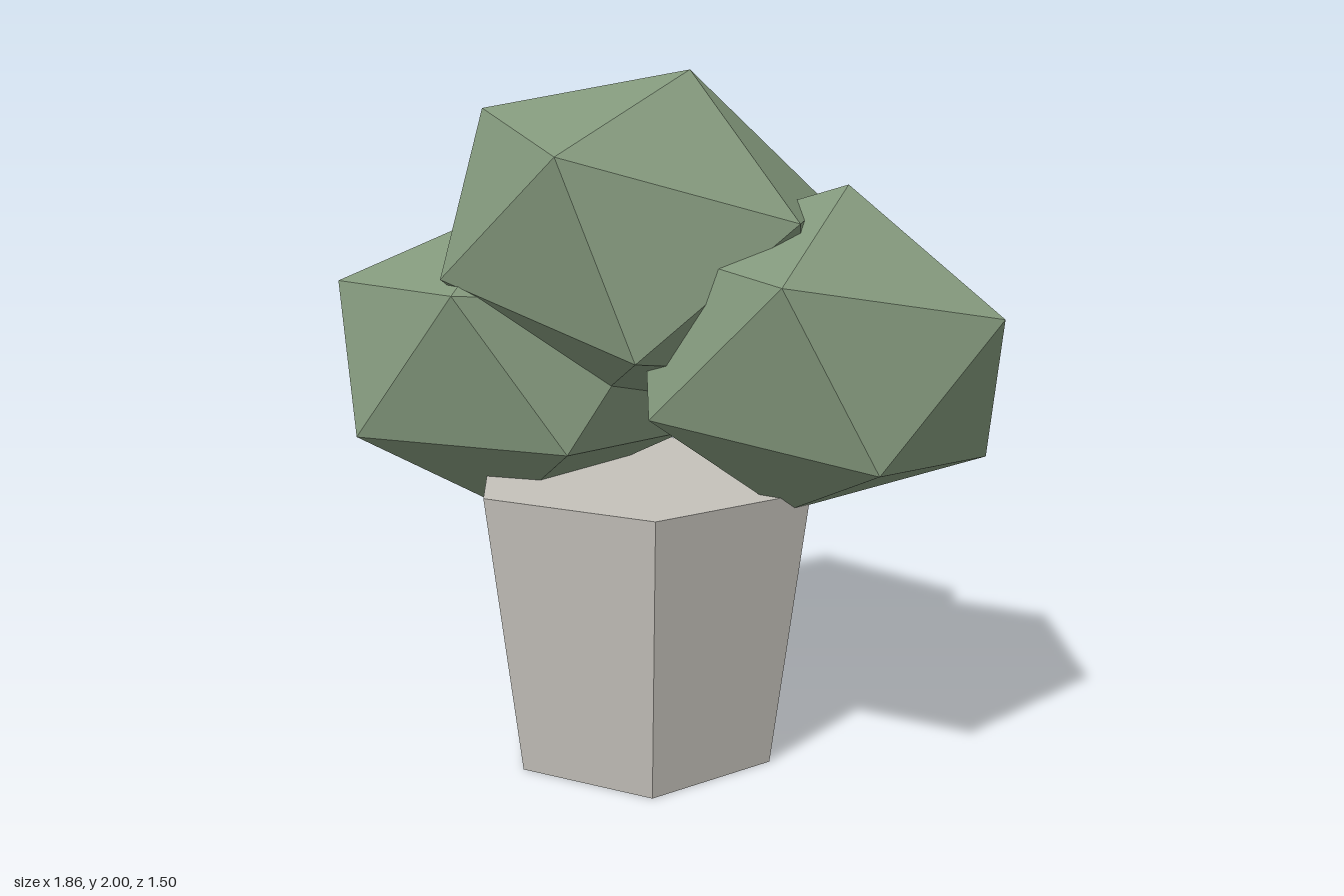
import * as THREE from 'three';

const POT_HEIGHT = 0.84;
const VERTEX_UP = Math.atan(2 / (1 + Math.sqrt(5))); // turns an icosahedron onto a corner

// Flattened icosahedron: twisted about its own axis, then leaned along "up"
function foliageClump(name, material, { center, up, radius, twist }) {
  const geometry = new THREE.IcosahedronGeometry(radius, 0);
  geometry.rotateZ(VERTEX_UP);
  geometry.rotateY(THREE.MathUtils.degToRad(twist));
  geometry.scale(1, 0.795, 1);
  const clump = new THREE.Mesh(geometry, material);
  clump.name = name;
  clump.position.set(...center);
  clump.quaternion.setFromUnitVectors(
    new THREE.Vector3(0, 1, 0),
    new THREE.Vector3(...up).normalize()
  );
  return clump;
}

export function createModel() {
  const model = new THREE.Group();
  model.name = 'pottedBush';

  const stone = new THREE.MeshStandardMaterial({ color: 0xc4c1ba, flatShading: true });
  stone.name = 'pale stone';
  const leaf = new THREE.MeshStandardMaterial({ color: 0x82977b, flatShading: true });
  leaf.name = 'leaf green';

  // Six-sided tapered pot
  const pot = new THREE.Mesh(new THREE.CylinderGeometry(0.53, 0.42, POT_HEIGHT, 6), stone);
  pot.name = 'pot';
  pot.position.set(-0.02, POT_HEIGHT / 2, 0);
  model.add(pot);

  // Three overlapping leaf clumps
  const foliage = new THREE.Group();
  foliage.name = 'foliage';
  foliage.add(
    foliageClump('topClump', leaf, { center: [-0.02, 1.53, 0], up: [0.13, 0.47, 0.05], radius: 0.622, twist: -16.5 }),
    foliageClump('leftFrontClump', leaf, { center: [0.45, 1.235, 0.23], up: [0.08, 0.47, 0.005], radius: 0.588, twist: -6.2 }),
    foliageClump('rightBackClump', leaf, { center: [-0.4, 1.15, -0.24], up: [0.025, 0.475, -0.03], radius: 0.598, twist: 0 })
  );
  model.add(foliage);

  return model;
}
